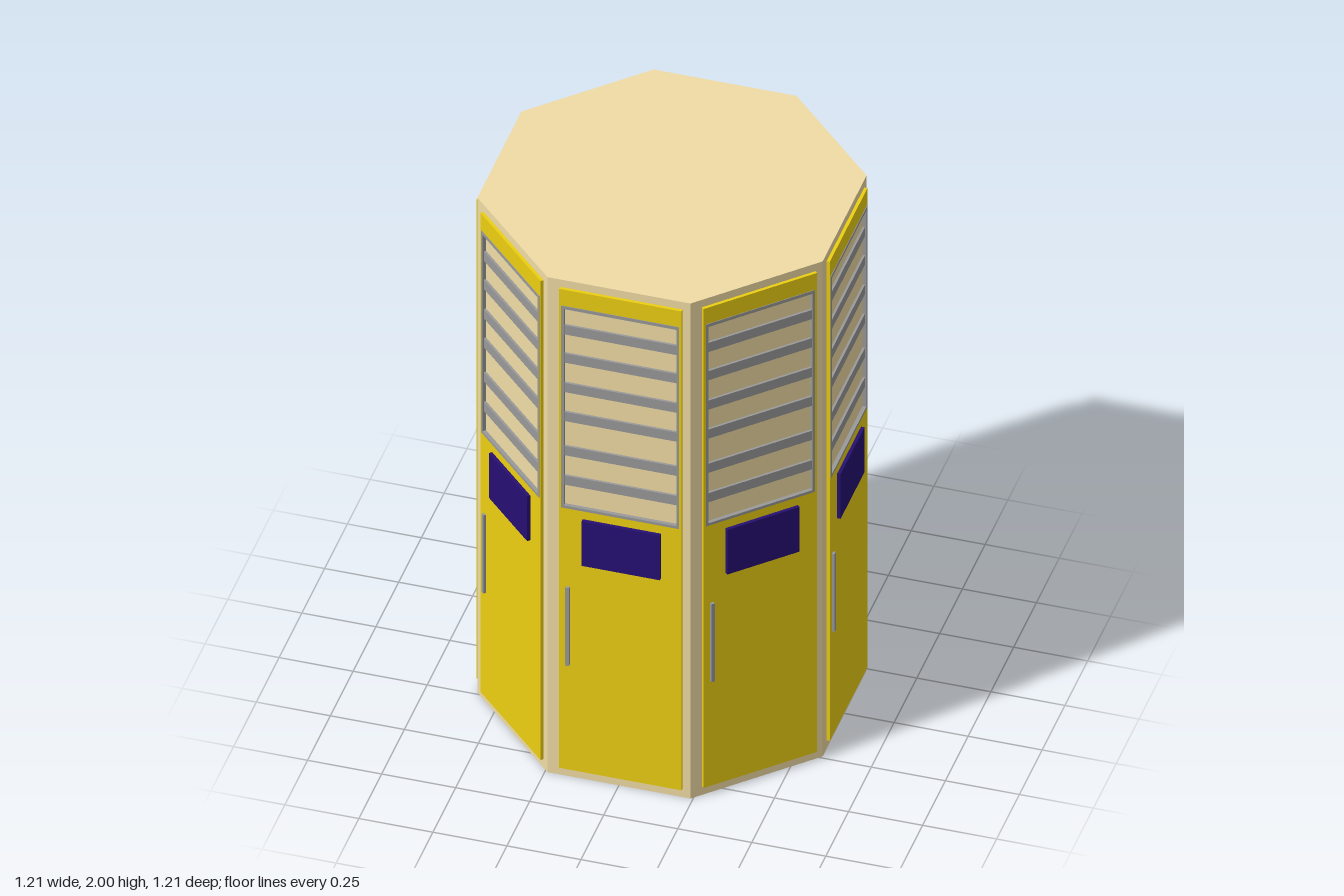
import * as THREE from 'three';

const APOTHEM = 0.583;
const mat = (color) => new THREE.MeshStandardMaterial({ color });

// Upright rectangular panel with an optional rectangular opening, back at z = 0
function rect(path, x, y0, y1) {
  path.moveTo(-x, y0);
  path.lineTo(x, y0);
  path.lineTo(x, y1);
  path.lineTo(-x, y1);
  path.closePath();
  return path;
}
function panel(outer, hole, depth) {
  const shape = rect(new THREE.Shape(), ...outer);
  shape.holes.push(rect(new THREE.Path(), ...hole));
  return new THREE.ExtrudeGeometry(shape, { depth, bevelEnabled: false });
}

export function createModel() {
  const model = new THREE.Group();
  model.name = 'octagonalLockerTower';
  const tan = mat(0xf0dca5);
  const yellow = mat(0xedcf12);
  const grey = mat(0x999999);
  const purple = mat(0x260f73);
  tan.flatShading = true;

  const add = (parent, name, geometry, material, x = 0, y = 0, z = 0) => {
    const mesh = new THREE.Mesh(geometry, material);
    mesh.name = name;
    mesh.position.set(x, y, z);
    parent.add(mesh);
    return mesh;
  };

  // Eight-sided core, flat sides facing the axes
  const radius = APOTHEM / Math.cos(Math.PI / 8);
  const core = new THREE.CylinderGeometry(radius, radius, 2, 8);
  core.rotateY(Math.PI / 8);
  add(model, 'body', core, tan, 0, 1, 0);

  // Shared door parts
  const doorGeo = panel([0.207, 0.035, 1.97], [0.198, 1.092, 1.903], 0.011);
  const frameGeo = panel([0.199, 1.09, 1.905], [0.19, 1.1, 1.893], 0.013);
  const slatGeo = new THREE.BoxGeometry(0.384, 0.037, 0.008);
  const signGeo = new THREE.BoxGeometry(0.264, 0.18, 0.014);
  const handleGeo = new THREE.BoxGeometry(0.013, 0.315, 0.01);
  const slatHeights = [1.199, 1.318, 1.456, 1.573, 1.692, 1.806];

  // One door on each side
  for (let i = 0; i < 8; i++) {
    const side = new THREE.Group();
    side.name = `doorAssembly${i + 1}`;
    side.rotation.y = (i * Math.PI) / 4;
    const door = new THREE.Group();
    door.name = 'door';
    door.position.set(0.008, 0, APOTHEM);
    side.add(door);
    add(door, 'doorPanel', doorGeo, yellow);
    add(door, 'louverFrame', frameGeo, grey);
    slatHeights.forEach((y) => add(door, 'louverSlat', slatGeo, grey, 0, y, 0.004));
    add(door, 'signPlate', signGeo, purple, 0.005, 0.967, 0.016);
    add(door, 'handle', handleGeo, grey, -0.177, 0.617, 0.015);
    model.add(side);
  }
  return model;
}
